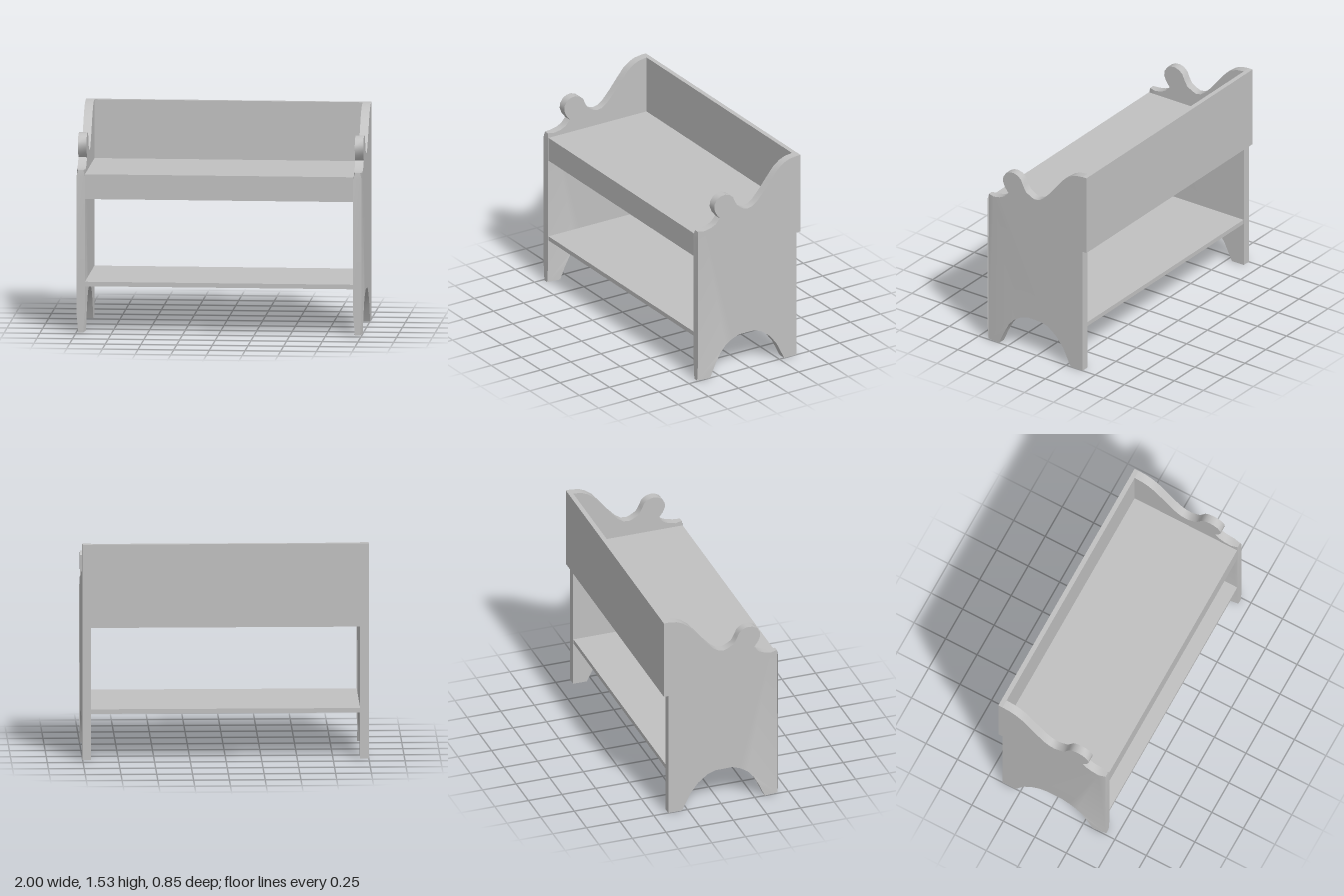
import * as THREE from 'three';
import { toCreasedNormals } from 'three/addons/utils/BufferGeometryUtils.js';

const THICK = 0.06;

// Side panel outline as [z, y]: scrolled armrest on top, arch between the feet
const OUTLINE = [
  [0.425, 0], [0.425, 0.15], [0.425, 1.1], [0.42, 1.145], [0.37, 1.142], [0.32, 1.152], [0.28, 1.17],
  [0.245, 1.21], [0.275, 1.25], [0.291, 1.29], [0.288, 1.325], [0.265, 1.36],
  [0.235, 1.376], [0.2, 1.38], [0.165, 1.37], [0.135, 1.345], [0.118, 1.305],
  [0.093, 1.262], [0.05, 1.238], [0.02, 1.227], [-0.02, 1.234], [-0.06, 1.26],
  [-0.12, 1.325], [-0.18, 1.4], [-0.235, 1.465], [-0.285, 1.503], [-0.33, 1.522], [-0.392, 1.53],
  [-0.392, 0], [-0.29, 0], [-0.225, 0.13], [-0.17, 0.2], [-0.1, 0.255], [-0.04, 0.275],
  [0.08, 0.277], [0.14, 0.257], [0.2, 0.218], [0.24, 0.172], [0.285, 0.09], [0.325, 0],
];

function sidePanelGeometry() {
  const shape = new THREE.Shape(OUTLINE.map(([z, y]) => new THREE.Vector2(z, y)));
  const geo = new THREE.ExtrudeGeometry(shape, { depth: THICK, bevelEnabled: false });
  geo.rotateY(-Math.PI / 2).translate(THICK / 2, 0, 0);
  // Worn front corners: narrow the toe and the tip of the armrest
  const p = geo.attributes.position;
  for (let i = 0; i < p.count; i++) {
    const y = p.getY(i);
    if (p.getZ(i) > 0.41 && (y < 0.01 || y > 1.12)) p.setX(i, p.getX(i) * 0.6);
  }
  return toCreasedNormals(geo, 0.6);
}

export function createModel() {
  const bench = new THREE.Group();
  bench.name = 'bench';
  const grey = new THREE.MeshStandardMaterial({ color: 0xc0c0c0 });
  grey.name = 'plain grey';

  const add = (name, geo, x = 0, y = 0, z = 0) => {
    const mesh = new THREE.Mesh(geo, grey);
    mesh.name = name;
    mesh.position.set(x, y, z);
    bench.add(mesh);
  };
  // Board given by its width and its y and z limits
  const board = (name, w, y0, y1, z0, z1) =>
    add(name, new THREE.BoxGeometry(w, y1 - y0, z1 - z0), 0, (y0 + y1) / 2, (z0 + z1) / 2);

  // Side panels
  const side = sidePanelGeometry();
  for (const [name, s] of [['leftSide', 1], ['rightSide', -1]]) add(name, side, s * (1 - THICK / 2));

  // Boards between the sides, and the backrest across their rear edges
  const inner = 2 - 2 * THICK;
  board('seat', inner, 1.08, 1.115, -0.392, 0.422);
  board('apron', inner, 0.94, 1.08, 0.39, 0.422);
  board('shelf', inner, 0.325, 0.357, -0.39, 0.422);
  board('backrest', 2, 0.94, 1.53, -0.425, -0.392);

  return bench;
}
